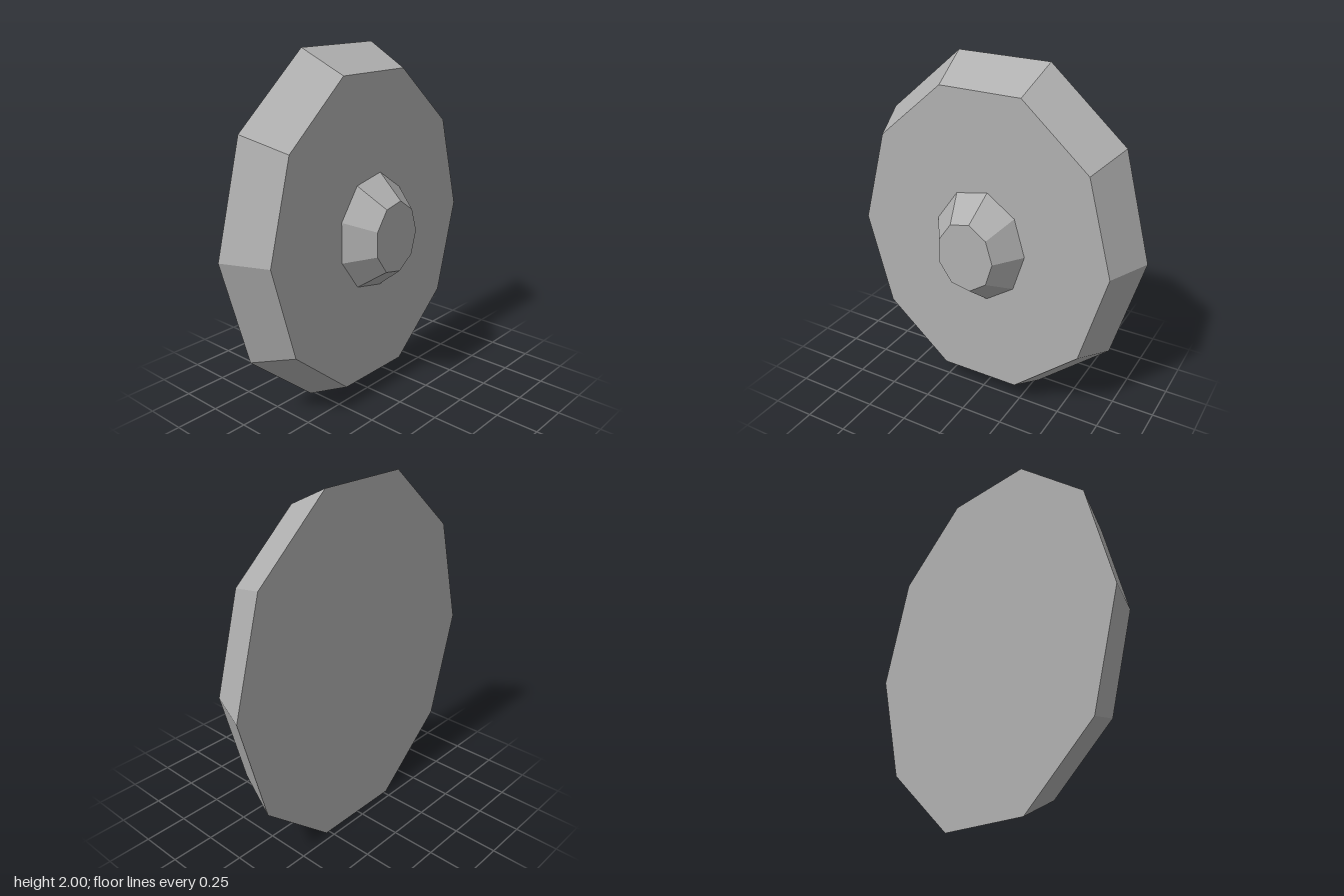
import * as THREE from 'three';

const OVAL = 0.837; // width to height ratio shared by both tiers

// Faceted oval frustum along z, with one corner on the +x axis
function taperedOval(name, sides, backRadius, frontRadius, zBack, zFront, material) {
  const geometry = new THREE.CylinderGeometry(
    frontRadius, backRadius, zFront - zBack, sides, 1, false, Math.PI / 2);
  geometry.rotateX(Math.PI / 2);
  geometry.scale(OVAL, 1, 1);
  geometry.translate(0, 1, (zBack + zFront) / 2);
  const mesh = new THREE.Mesh(geometry, material);
  mesh.name = name;
  return mesh;
}

export function createModel() {
  const group = new THREE.Group();
  group.name = 'shield';

  const grey = new THREE.MeshStandardMaterial({ color: 0xb0b0b0, flatShading: true });
  grey.name = 'grey';

  // Ten-sided plate and nine-sided raised centre
  group.add(taperedOval('plate', 10, 1.0515, 0.919, -0.21, 0.05, grey));
  group.add(taperedOval('boss', 9, 0.335, 0.204, 0.05, 0.21, grey));
  return group;
}
